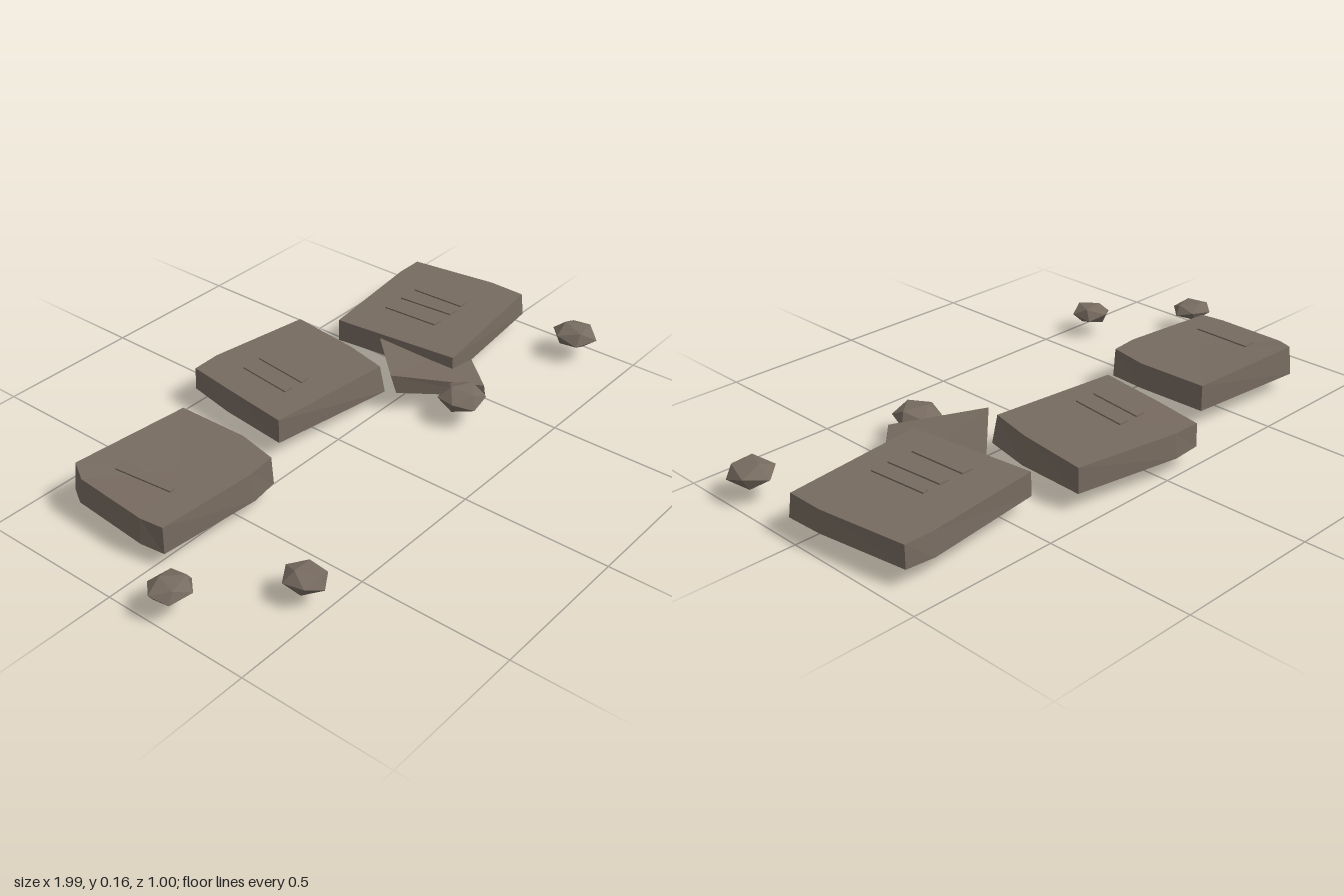
import * as THREE from 'three';

export function createModel() {
  const group = new THREE.Group();
  const stone = new THREE.MeshStandardMaterial({ color: 0x776b60, flatShading: true });
  stone.name = 'stone';

  function addMesh(geometry, name) {
    const mesh = new THREE.Mesh(geometry, stone);
    mesh.name = name;
    group.add(mesh);
    return mesh;
  }

  // Closed chunk between two rings of [x, y, z], both clockwise seen from above
  function chunk(name, top, bottom) {
    const pos = [];
    const tri = (...pts) => pts.forEach((p) => pos.push(...p));
    const centre = (ring) => [0, 1, 2].map((k) => ring.reduce((s, p) => s + p[k], 0) / ring.length);
    const ct = centre(top), cb = centre(bottom);
    top.forEach((t, i) => {
      const j = (i + 1) % top.length;
      tri(ct, top[j], t);
      tri(cb, bottom[i], bottom[j]);
      tri(bottom[i], t, top[j]);
      tri(bottom[i], top[j], bottom[j]);
    });
    const geometry = new THREE.BufferGeometry();
    geometry.setAttribute('position', new THREE.Float32BufferAttribute(pos, 3));
    geometry.computeVertexNormals();
    return addMesh(geometry, name);
  }

  // Slab from [x, z, topY, bottomY, inset of the top edge]
  function slab(name, corners) {
    const cx = corners.reduce((s, c) => s + c[0], 0) / corners.length;
    const cz = corners.reduce((s, c) => s + c[1], 0) / corners.length;
    const top = corners.map(([x, z, y, , k]) => [x + (cx - x) * k, y, z + (cz - z) * k]);
    const bottom = corners.map(([x, z, , y]) => [x, y, z]);
    chunk(name, top, bottom);
  }

  // Three worn paving slabs
  slab('leftSlab', [
    [-0.77, -0.385, 0.158, 0.06, 0.03], [-0.34, -0.35, 0.148, 0.06, 0.0],
    [-0.335, -0.1, 0.148, 0.06, 0.0], [-0.36, 0.045, 0.147, 0.05, 0.02],
    [-0.46, 0.06, 0.147, 0.05, 0.04], [-0.81, 0.03, 0.142, 0.05, 0.01],
    [-0.825, -0.05, 0.142, 0.055, 0.03], [-0.81, -0.32, 0.148, 0.065, 0.04],
  ]);
  slab('middleSlab', [
    [-0.14, -0.495, 0.14, 0.062, 0.01], [-0.04, -0.5, 0.142, 0.06, 0.03],
    [0.32, -0.435, 0.143, 0.058, 0.0], [0.295, -0.18, 0.144, 0.046, 0.03],
    [0.26, -0.015, 0.145, 0.048, 0.05], [-0.2, -0.075, 0.145, 0.06, 0.0],
    [-0.175, -0.32, 0.143, 0.062, 0.04],
  ]);
  slab('rightSlab', [
    [0.415, -0.34, 0.132, 0.052, 0.0], [0.83, -0.395, 0.134, 0.056, 0.03],
    [0.93, -0.39, 0.135, 0.06, 0.01], [0.975, -0.08, 0.135, 0.06, 0.02],
    [0.975, 0.055, 0.134, 0.055, 0.03], [0.465, 0.11, 0.13, 0.055, 0.0],
  ]);

  // Broken slab tipped beneath the right one
  chunk('tiltedSlab',
    [[0.43, 0.115, -0.17], [0.7, 0.035, -0.01], [0.45, 0.085, 0.25], [0.23, 0.143, 0.03]],
    [[0.46, 0.055, -0.16], [0.71, 0.0, -0.01], [0.46, 0.04, 0.25], [0.25, 0.07, 0.04]]);

  // Tally marks just above the slabs: four [x, z] corners, clockwise from above
  const marks = [
    ['leftMark', [[-0.71, -0.265], [-0.665, -0.27], [-0.67, -0.06], [-0.688, -0.06]]],
    ['middleMark', [[-0.055, -0.355], [-0.02, -0.355], [-0.045, -0.155], [-0.078, -0.155]]],
    ['middleMark', [[0.02, -0.355], [0.055, -0.355], [0.03, -0.15], [-0.003, -0.15]]],
    ['rightMark', [[0.553, -0.243], [0.59, -0.243], [0.602, -0.04], [0.564, -0.04]]],
    ['rightMark', [[0.64, -0.243], [0.675, -0.243], [0.692, -0.04], [0.655, -0.04]]],
    ['rightMark', [[0.718, -0.243], [0.74, -0.248], [0.757, -0.045], [0.724, -0.045]]],
  ];
  for (const [name, pts] of marks) {
    chunk(name, pts.map(([x, z]) => [x, 0.159, z]), pts.map(([x, z]) => [x, 0.154, z]));
  }

  // Scattered flattened pebbles: centre, half width, half height, half depth, turn
  const pebbles = [
    [-0.93, 0.086, 0.175, 0.073, 0.031, 0.066, 0.3],
    [-0.66, 0.08, 0.427, 0.064, 0.036, 0.07, 1.1],
    [0.345, 0.088, 0.235, 0.078, 0.04, 0.076, 0.7],
    [0.925, 0.086, 0.302, 0.073, 0.04, 0.08, 0.1],
  ];
  for (const [x, y, z, a, b, c, turn] of pebbles) {
    const geometry = new THREE.IcosahedronGeometry(1, 0);
    geometry.rotateX(0.55).rotateY(turn).scale(a * 1.04, b * 1.04, c * 1.04);
    addMesh(geometry, 'pebble').position.set(x, y, z);
  }

  return group;
}
